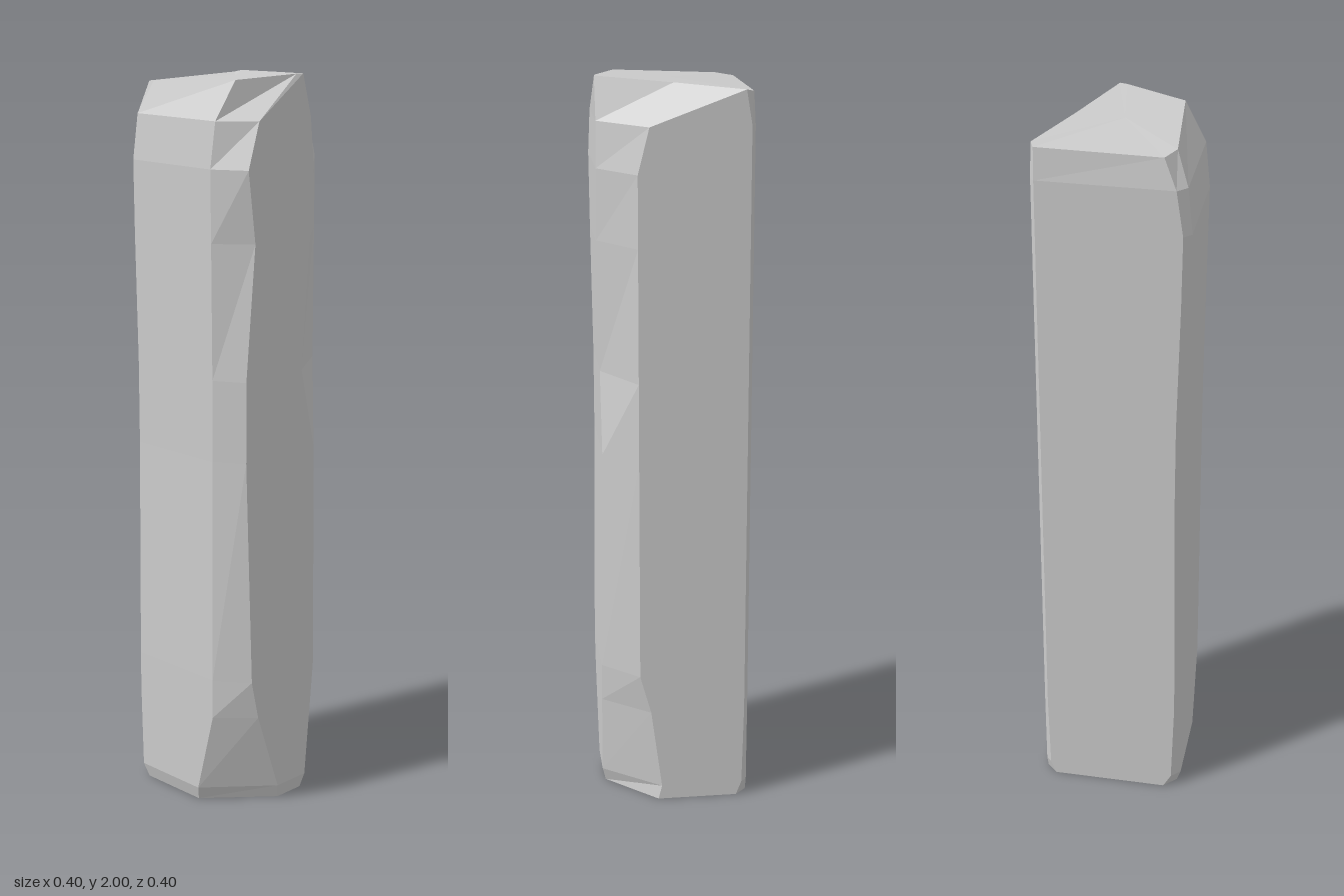
import * as THREE from 'three';

// Eight-sided cross-section of the block: four faces with a cut at each corner.
// Goes round from the front face to +x, back, -x.
function ring([y, frontX, frontZ, backZ, backX, backCut, frontCut, right, front]) {
  const s = 0.2;
  return [
    [frontX, y, front], [right, y, frontZ],
    [right, y, backZ], [backX, y, -s],
    [-s + backCut, y, -s], [-s, y, -s + backCut],
    [-s, y, front - frontCut], [-s + frontCut, y, front],
  ];
}

// Skin the rings with flat triangles and close both ends with a fan.
function loft(rings, bottom, top) {
  const pos = [];
  const tri = (...pts) => pts.forEach((p) => pos.push(...p));
  const n = rings[0].length;
  for (let i = 0; i < n; i++) {
    const j = (i + 1) % n;
    for (let k = 0; k < rings.length - 1; k++) {
      const a = rings[k], b = rings[k + 1];
      tri(a[i], a[j], b[j]);
      tri(a[i], b[j], b[i]);
    }
    const last = rings[rings.length - 1];
    tri(bottom, rings[0][j], rings[0][i]);
    tri(top, last[i], last[j]);
  }
  const geo = new THREE.BufferGeometry();
  geo.setAttribute('position', new THREE.Float32BufferAttribute(pos, 3));
  geo.computeVertexNormals();
  return geo;
}

export function createModel() {
  const group = new THREE.Group();
  group.name = 'stonePillar';

  // y, front-right cut (x, z), back-right cut (z, x), back-left and front-left cuts, right and front faces
  const rings = [
    [0.00, 0.04, 0.02, -0.07, 0.05, 0.030, 0.035, 0.188, 0.185],
    [0.04, 0.05, 0.03, -0.08, 0.04, 0.015, 0.025, 0.197, 0.197],
    [0.27, 0.11, 0.11, -0.10, 0.07, 0.010, 0.020, 0.198, 0.198],
    [0.38, 0.11, 0.135, -0.11, 0.10, 0.010, 0.020, 0.198, 0.198],
    [1.00, 0.11, 0.15, -0.11, 0.10, 0.010, 0.025, 0.190, 0.195],
    [1.22, 0.11, 0.15, -0.06, 0.10, 0.010, 0.025, 0.190, 0.195],
    [1.58, 0.11, 0.125, -0.08, 0.10, 0.010, 0.020, 0.197, 0.198],
    [1.77, 0.11, 0.15, -0.09, 0.10, 0.010, 0.020, 0.197, 0.200],
    [1.89, 0.115, 0.11, -0.08, 0.07, 0.010, 0.025, 0.195, 0.187],
  ].map(ring);

  // Sloping rim of the broken top
  rings.push([
    [0.13, 1.99, 0.13], [0.19, 2.0, -0.03], [0.195, 2.0, -0.05], [0.0, 1.99, -0.125],
    [-0.175, 1.98, -0.2], [-0.195, 1.975, -0.19], [-0.19, 1.97, 0.13], [-0.145, 1.975, 0.155],
  ]);

  const pillar = new THREE.Mesh(
    loft(rings, [0, 0, 0], [0, 1.987, 0]),
    new THREE.MeshStandardMaterial({ color: 0xcccccc, flatShading: true }),
  );
  pillar.name = 'chippedStoneBlock';
  group.add(pillar);
  return group;
}
